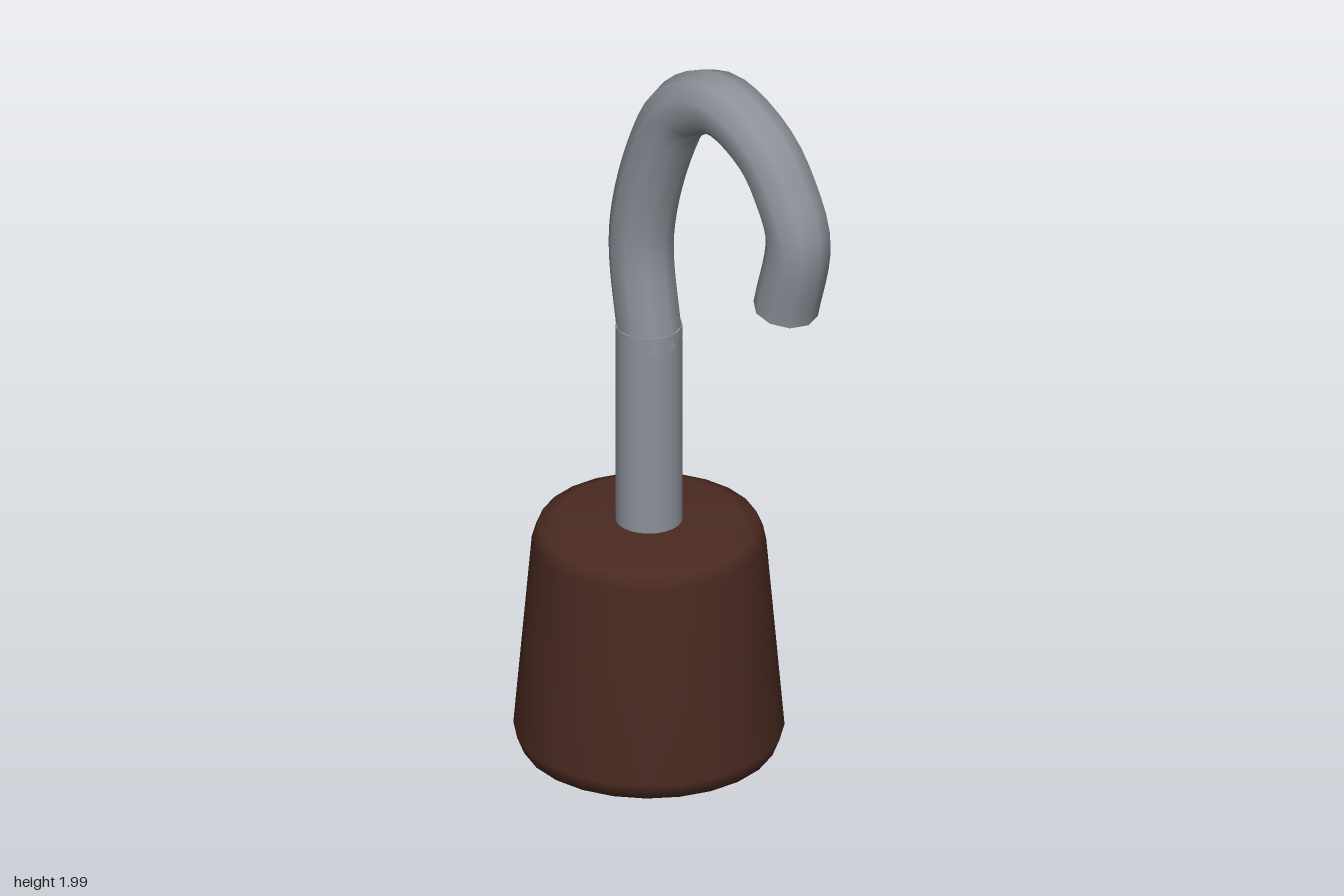
import * as THREE from 'three';

const AXIS_X = -0.145;
const ROD_RADIUS = 0.083;
const SIDES = 10;

export function createModel() {
  const model = new THREE.Group();
  const steel = new THREE.MeshStandardMaterial({ color: 0x8c9199 });
  steel.name = 'steel';
  const brown = new THREE.MeshStandardMaterial({ color: 0x4a2a21 });
  brown.name = 'brown';

  const add = (name, geometry, material, x = 0, y = 0, z = 0) => {
    const mesh = new THREE.Mesh(geometry, material);
    mesh.name = name;
    mesh.position.set(x, y, z);
    model.add(mesh);
    return mesh;
  };

  // Tapered handle with softened rims
  const profile = [
    [0, 0], [0.285, 0], [0.322, 0.015], [0.34, 0.06],
    [0.294, 0.585], [0.277, 0.625], [0.235, 0.64], [0, 0.64],
  ].map(([r, y]) => new THREE.Vector2(r, y));
  add('handle', new THREE.LatheGeometry(profile, 24), brown, AXIS_X);

  // Straight shaft rising from the handle
  add('shaft', new THREE.CylinderGeometry(0.084, 0.084, 0.58, 24), steel, AXIS_X, 0.9);

  // Curved hook
  const path = new THREE.CatmullRomCurve3([
    [-0.14, 1.14], [-0.172, 1.44], [-0.1, 1.715], [-0.02, 1.85], [0.12, 1.912],
    [0.275, 1.845], [0.355, 1.74], [0.395, 1.632], [0.35, 1.422],
  ].map(([x, y]) => new THREE.Vector3(x, y, 0)));

  // Quarter-turn the tube's frames so a ridge runs along the outer bend
  const baseFrames = path.computeFrenetFrames.bind(path);
  path.computeFrenetFrames = (segments, closed) => {
    const f = baseFrames(segments, closed);
    return {
      tangents: f.tangents,
      normals: f.binormals,
      binormals: f.normals.map((n) => n.clone().negate()),
    };
  };
  add('hook', new THREE.TubeGeometry(path, 40, ROD_RADIUS, SIDES, false), steel);

  // Flat cut at the free end of the hook
  const end = path.getPointAt(1);
  const tip = add('hookTip', new THREE.CircleGeometry(ROD_RADIUS, SIDES, Math.PI / 2), steel, end.x, end.y, 0);
  tip.lookAt(end.clone().add(path.getTangentAt(1)));
  // Match the tip's ridge to the outer side of the bend
  tip.rotateZ(Math.PI);

  return model;
}
